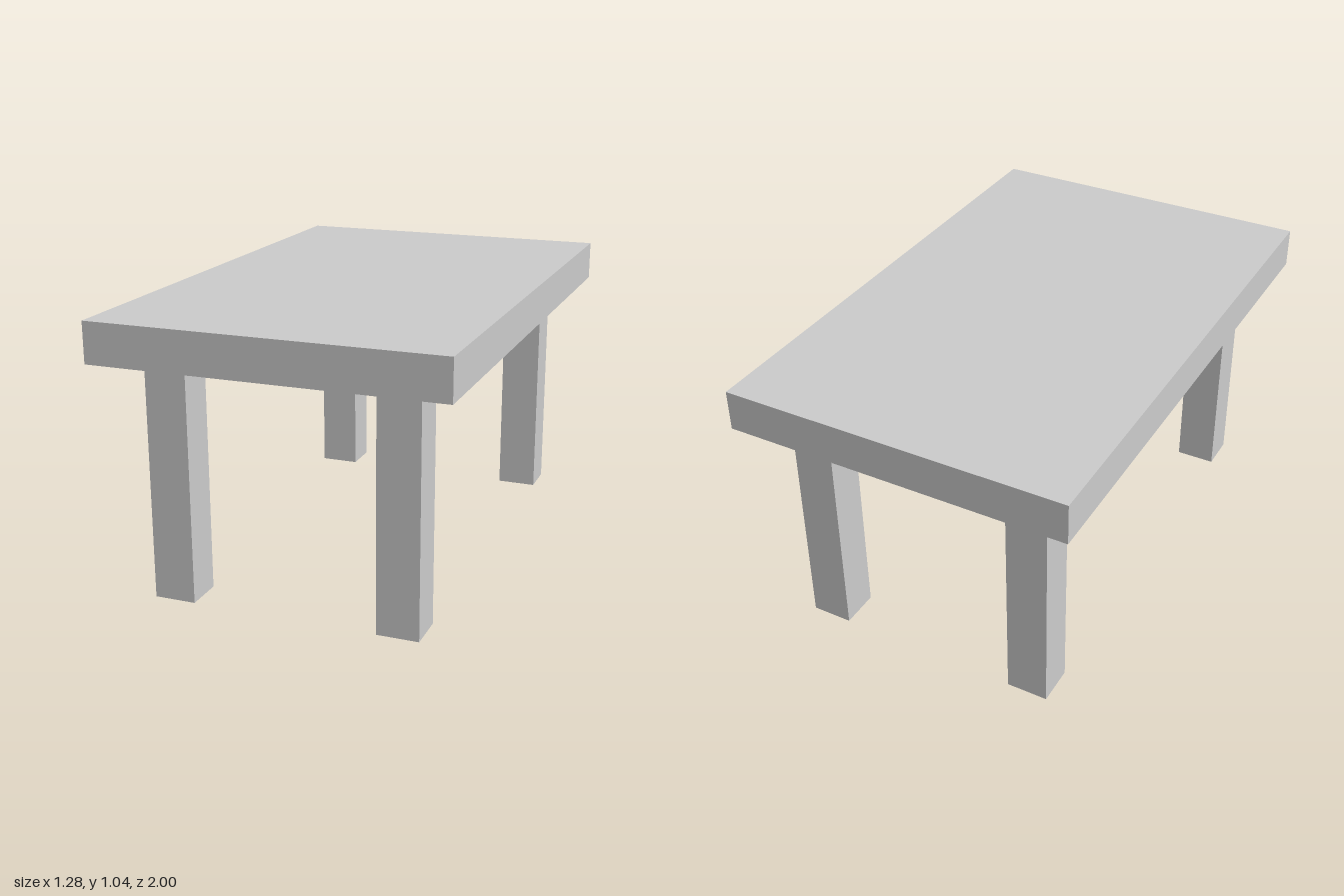
import * as THREE from 'three';

const LEG_HEIGHT = 0.887;
const TOP_THICKNESS = 0.15;

export function createModel() {
  const table = new THREE.Group();
  table.name = 'table';
  const material = new THREE.MeshStandardMaterial({ color: 0xcccccc, flatShading: true });

  // Box standing on the height y
  const addBox = (name, w, h, d, x, y, z) => {
    const mesh = new THREE.Mesh(new THREE.BoxGeometry(w, h, d), material);
    mesh.name = name;
    mesh.position.set(x, y + h / 2, z);
    table.add(mesh);
  };

  // Thick slab top
  addBox('tableTop', 1.284, TOP_THICKNESS, 2, 0, LEG_HEIGHT, 0);

  // Four square legs, inset from the corners
  for (const [side, x] of [['Left', 0.421], ['Right', -0.421]]) {
    for (const [end, z] of [['front', 0.787], ['back', -0.787]]) {
      addBox(`${end}${side}Leg`, 0.154, LEG_HEIGHT, 0.146, x, 0, z);
    }
  }
  return table;
}
